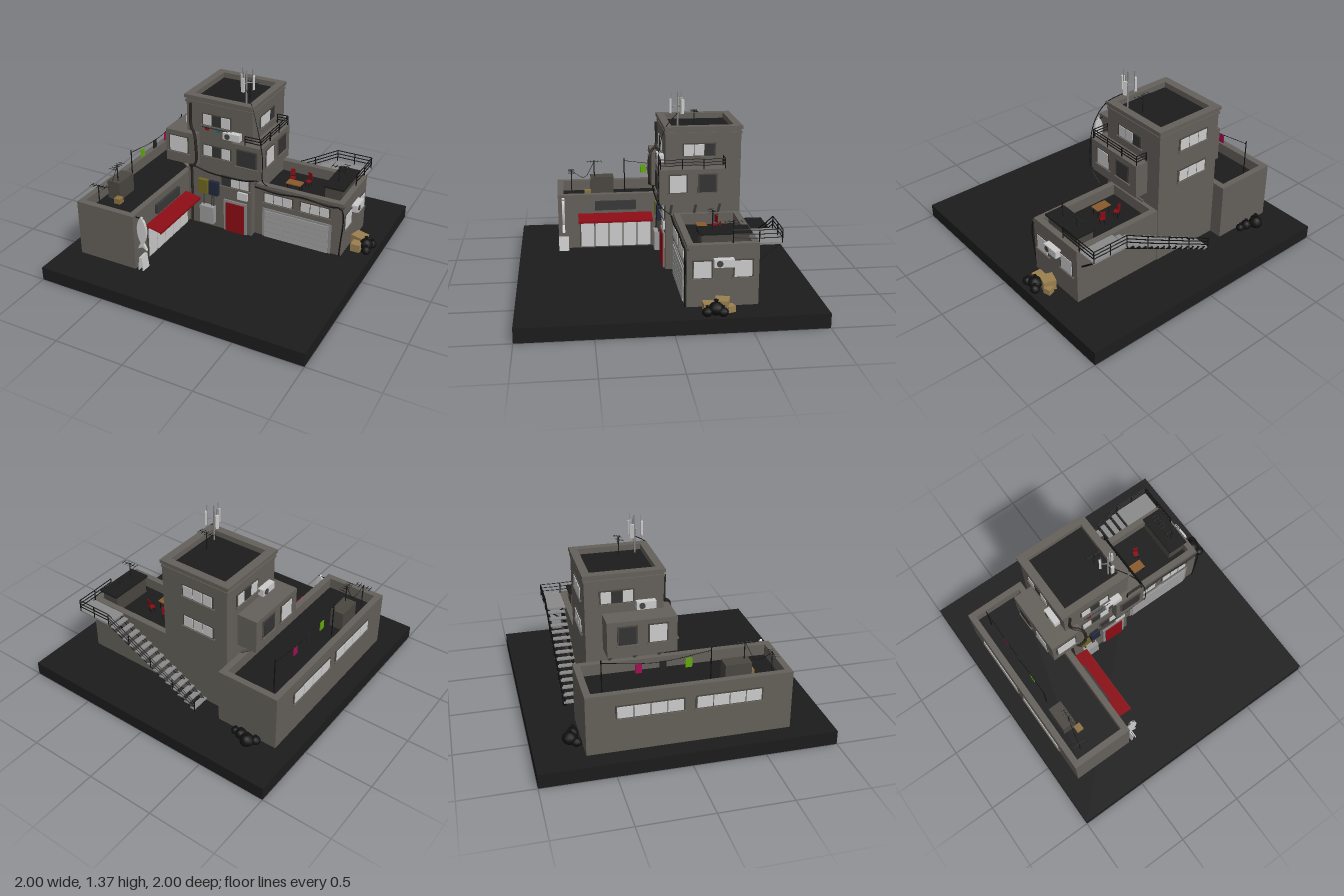
import * as THREE from 'three';

const WALL = 0x64605a, TRIM = 0x4a4741, DARK = 0x1c1c1c, BLACK = 0x101010, LIGHT = 0xcccccc, METAL = 0x8a8a8a, RED = 0x8a0c14;
const mats = {};
const mat = (c) => (mats[c] ??= new THREE.MeshStandardMaterial({ color: c, side: THREE.DoubleSide }));
const V = (p) => new THREE.Vector3(...p);

function add(parent, name, geo, color, pos = [0, 0, 0]) {
  const m = new THREE.Mesh(geo, mat(color));
  m.name = name;
  m.position.set(...pos);
  parent.add(m);
  return m;
}
// Box from its limits on each axis
function box(parent, name, color, x0, x1, y0, y1, z0, z1) {
  return add(parent, name, new THREE.BoxGeometry(x1 - x0, y1 - y0, z1 - z0), color,
    [(x0 + x1) / 2, (y0 + y1) / 2, (z0 + z1) / 2]);
}
// Round bar between two points
function bar(parent, name, color, a, b, r = 0.004) {
  const p = V(a), q = V(b), d = q.clone().sub(p);
  const m = add(parent, name, new THREE.CylinderGeometry(r, r, d.length(), 6), color, p.clone().add(q).multiplyScalar(0.5).toArray());
  m.quaternion.setFromUnitVectors(new THREE.Vector3(0, 1, 0), d.normalize());
}
function cable(parent, name, pts, r = 0.003, color = BLACK) {
  add(parent, name, new THREE.TubeGeometry(new THREE.CatmullRomCurve3(pts.map(V), false, 'centripetal'), 28, r, 6), color);
}
// Hollow-topped building block: parapet ring with a sunken roof floor
function block(parent, name, x0, x1, y0, y1, z0, z1, t, floor) {
  const rect = (S, i) => new S([[x0 + i, -z1 + i], [x1 - i, -z1 + i], [x1 - i, -z0 - i], [x0 + i, -z0 - i]].map((p) => new THREE.Vector2(...p)));
  const s = rect(THREE.Shape, 0);
  s.holes.push(rect(THREE.Path, t));
  add(parent, name + 'Walls', new THREE.ExtrudeGeometry(s, { depth: y1 - y0, bevelEnabled: false }), WALL, [0, y0, 0]).rotation.x = -Math.PI / 2;
  box(parent, name + 'Roof', DARK, x0 + t, x1 - t, floor - 0.02, floor, z0 + t, z1 - t);
}
// Sub-group whose local +z points out of a wall
function onWall(parent, name, pos, rotY) {
  const g = new THREE.Group();
  g.name = name;
  g.position.set(...pos);
  g.rotation.y = rotY;
  parent.add(g);
  return g;
}
// Framed window with n panes; pane number "dark" is open
function win(parent, pos, rotY, w, h, n, dark = -1) {
  const g = onWall(parent, 'window', pos, rotY), pw = w / n;
  box(g, 'windowFrame', TRIM, -w / 2 - 0.008, w / 2 + 0.008, -h / 2 - 0.008, h / 2 + 0.008, -0.01, 0.006);
  box(g, 'windowSill', WALL, -w / 2 - 0.015, w / 2 + 0.015, -h / 2 - 0.016, -h / 2 - 0.006, -0.01, 0.016);
  for (let i = 0; i < n; i++) {
    const x = -w / 2 + i * pw;
    box(g, 'windowPane', i === dark ? 0x333333 : LIGHT, x + 0.003, x + pw - 0.003, -h / 2, h / 2, 0, 0.01);
  }
}
function airConditioner(parent, pos, rotY) {
  const g = onWall(parent, 'airConditioner', pos, rotY);
  box(g, 'coolerBody', LIGHT, -0.065, 0.065, -0.026, 0.026, 0, 0.045);
  add(g, 'coolerFan', new THREE.CylinderGeometry(0.021, 0.021, 0.006, 16), 0x444444, [-0.03, 0, 0.046]).rotation.x = Math.PI / 2;
}
function aerial(parent, x, y0, y1, z, along) {
  bar(parent, 'aerialPole', DARK, [x, y0, z], [x, y1, z]);
  const d = along === 'x' ? [0.055, 0] : [0, 0.055];
  bar(parent, 'aerialBoom', DARK, [x - d[0], y1 - 0.01, z - d[1]], [x + d[0], y1 - 0.01, z + d[1]], 0.002);
  for (let i = -2; i <= 2; i++) {
    const cx = x + d[0] * i / 2, cz = z + d[1] * i / 2, e = along === 'x' ? [0, 0.025] : [0.025, 0];
    bar(parent, 'aerialRod', DARK, [cx - e[0], y1 - 0.01, cz - e[1]], [cx + e[0], y1 - 0.01, cz + e[1]], 0.002);
  }
}
// Posts with three rails following a path of floor points
function railing(parent, pts, h) {
  pts.forEach((p, i) => {
    bar(parent, 'railPost', BLACK, p, [p[0], p[1] + h, p[2]]);
    if (i) for (const k of [0.4, 0.7, 1]) {
      const q = pts[i - 1];
      bar(parent, 'rail', BLACK, [q[0], q[1] + h * k, q[2]], [p[0], p[1] + h * k, p[2]], 0.0035);
    }
  });
}
function rubbish(parent, list) {
  for (const [x, z, r] of list) {
    const m = add(parent, 'rubbishBag', new THREE.IcosahedronGeometry(r, 1), BLACK, [x, 0.1 + r * 0.8, z]);
    m.scale.y = 0.9;
    add(parent, 'bagKnot', new THREE.ConeGeometry(r * 0.35, r * 0.5, 7), BLACK, [x, 0.1 + r * 1.75, z]).rotation.x = Math.PI;
  }
}

export function createModel() {
  const g = new THREE.Group();
  const R = Math.PI / 2;
  box(g, 'ground', DARK, -1, 1, 0, 0.1, -1, 1);

  // Main volumes
  block(g, 'shop', -0.87, -0.41, 0.1, 0.52, -0.67, 0.71, 0.045, 0.44);
  block(g, 'garage', 0.1, 0.8, 0.1, 0.52, -0.57, -0.1, 0.045, 0.44);
  block(g, 'tower', -0.41, 0.115, 0.1, 1.14, -0.575, -0.045, 0.045, 1.08);
  block(g, 'towerCornice', -0.425, 0.125, 1.115, 1.14, -0.585, -0.035, 0.05, 1.1);
  block(g, 'towerBand', -0.42, 0.12, 1.085, 1.1, -0.58, -0.04, 0.03, 1.08);
  box(g, 'garageCap', TRIM, 0.12, 0.805, 0.485, 0.5, -0.11, -0.092);

  // Corner bays with brackets beneath
  for (const [x0, x1, out, inn, rot] of [[-0.56, -0.31, -0.56, -0.41, -R], [-0.02, 0.215, 0.215, 0.115, R]]) {
    box(g, 'bay', WALL, x0, x1, 0.61, 0.86, -0.06, 0.01);
    box(g, 'baySide', WALL, Math.min(out, inn), Math.max(out, inn), 0.61, 0.86, -0.46, 0.01);
    win(g, [out < 0 ? -0.45 : 0.1, 0.76, 0.01], 0, 0.15, 0.12, 1, out < 0 ? -1 : 0);
    win(g, [out, 0.76, -0.12], rot, 0.12, 0.12, 1);
    win(g, [out, 0.76, -0.325], rot, 0.12, 0.12, 1, 0);
    for (const z of [-0.08, -0.25, -0.42]) {
      bar(g, 'bayBracket', WALL, [inn, 0.52, z], [inn + (out - inn) * 0.85, 0.615, z], 0.01);
    }
  }
  railing(g, [[0.08, 0.86, 0], [0.205, 0.86, 0], [0.205, 0.86, -0.15], [0.205, 0.86, -0.3], [0.205, 0.86, -0.45], [0.12, 0.86, -0.45]], 0.07);

  // Tower windows on all sides
  for (const y of [0.975, 0.73]) {
    win(g, [-0.165, y, -0.045], 0, 0.22, 0.08, 3, 1);
    win(g, [-0.18, y, -0.575], Math.PI, 0.24, 0.08, 3);
  }
  win(g, [0.115, 0.975, -0.28], R, 0.22, 0.08, 3, 2);
  win(g, [-0.41, 0.975, -0.36], -R, 0.22, 0.08, 3, 1);
  win(g, [-0.015, 0.515, -0.045], 0, 0.22, 0.075, 3, 0);
  airConditioner(g, [-0.03, 0.895, -0.045], 0);
  airConditioner(g, [-0.41, 0.91, -0.17], -R);

  // Entrance door, number plate and utility boxes
  box(g, 'doorFrame', METAL, -0.11, 0.08, 0.1, 0.36, -0.06, -0.035);
  box(g, 'door', RED, -0.09, 0.06, 0.1, 0.34, -0.05, -0.028);
  box(g, 'numberPlate', LIGHT, 0.005, 0.085, 0.39, 0.45, -0.05, -0.03);
  box(g, 'yellowBox', 0x6e6620, -0.315, -0.24, 0.38, 0.49, -0.05, -0.015);
  box(g, 'blueBox', 0x20283a, -0.225, -0.15, 0.38, 0.49, -0.05, -0.015);
  box(g, 'meterBox', 0x999999, -0.295, -0.18, 0.14, 0.28, -0.05, 0);
  for (const x of [-0.275, -0.21, -0.195]) bar(g, 'conduit', TRIM, [x, 0.27, -0.035], [x, 0.39, -0.035], 0.006);
  cable(g, 'drainPipe', [[-0.375, 0.1, -0.03], [-0.375, 0.58, -0.03], [-0.36, 0.61, 0.02], [-0.31, 0.63, 0.025], [-0.305, 0.83, 0.025],
    [-0.32, 0.87, 0.01], [-0.37, 0.9, -0.03], [-0.37, 1.08, -0.03]], 0.011, 0x2a2522);
  bar(g, 'clothesLine', BLACK, [-0.27, 0.925, -0.015], [-0.06, 0.925, -0.015], 0.002);
  [[-0.23, RED], [-0.14, 0x1a6a80]].forEach(([x, c]) => box(g, 'smallCloth', c, x - 0.015, x + 0.015, 0.905, 0.925, -0.017, -0.013));

  // Garage front and side
  box(g, 'garageFrame', METAL, 0.18, 0.72, 0.1, 0.335, -0.11, -0.092);
  box(g, 'garageDoor', 0xa0a0a0, 0.2, 0.7, 0.1, 0.32, -0.1, -0.086);
  for (let i = 1; i < 5; i++) box(g, 'doorRib', METAL, 0.2, 0.7, 0.1 + i * 0.044, 0.103 + i * 0.044, -0.09, -0.084);
  for (const x of [0.305, 0.59]) win(g, [x, 0.425, -0.1], 0, 0.22, 0.07, 3);
  for (const z of [-0.2, -0.465]) win(g, [0.8, 0.355, z], R, 0.12, 0.11, 1);
  airConditioner(g, [0.8, 0.405, -0.335], R);

  // Shop front with awning and blank sign
  box(g, 'shopFrame', TRIM, -0.42, -0.402, 0.1, 0.34, 0, 0.55);
  for (let i = 0; i < 5; i++) box(g, 'shopPane', LIGHT, -0.41, -0.397, 0.11, 0.33, 0.008 + i * 0.108, 0.108 + i * 0.108);
  const awning = box(g, 'awning', RED, -0.415, -0.285, 0.352, 0.36, 0, 0.56);
  awning.rotation.z = -0.2;
  box(g, 'awningValance', RED, -0.292, -0.285, 0.332, 0.348, 0, 0.56);
  box(g, 'shopSign', 0x383838, -0.41, -0.39, 0.4, 0.47, 0.12, 0.43);
  for (const z of [-0.25, 0.275]) win(g, [-0.87, 0.39, z], -R, 0.44, 0.08, 4);

  // Hanging fish with its stand
  const fish = new THREE.Shape();
  fish.moveTo(0, 0.13);
  fish.bezierCurveTo(0.045, 0.08, 0.045, -0.01, 0.01, -0.075);
  fish.lineTo(0.035, -0.125);
  fish.lineTo(0, -0.105);
  fish.lineTo(-0.035, -0.125);
  fish.lineTo(-0.01, -0.075);
  fish.bezierCurveTo(-0.045, -0.01, -0.045, 0.08, 0, 0.13);
  add(g, 'fishSign', new THREE.ExtrudeGeometry(fish, { depth: 0.012, bevelSize: 0.003, bevelThickness: 0.004, bevelSegments: 2 }), LIGHT, [-0.365, 0.38, 0.665]);
  bar(g, 'fishBracket', BLACK, [-0.41, 0.5, 0.671], [-0.35, 0.5, 0.671]);
  for (const s of [-1, 1]) box(g, 'pavementBoard', LIGHT, -0.366 + s * 0.012 - 0.004, -0.366 + s * 0.012 + 0.004, 0.1, 0.205, 0.635, 0.71).rotation.z = s * 0.12;

  // Shop roof: vent, aerials and washing line
  box(g, 'shopVent', TRIM, -0.79, -0.69, 0.44, 0.58, 0.27, 0.45);
  aerial(g, -0.72, 0.44, 0.71, 0.42, 'z');
  aerial(g, -0.76, 0.44, 0.625, 0.6, 'x');
  cable(g, 'aerialCable', [[-0.72, 0.7, 0.42], [-0.74, 0.57, 0.5], [-0.76, 0.62, 0.6]], 0.002);
  for (const z of [-0.54, 0.18]) bar(g, 'linePole', BLACK, [-0.76, 0.44, z], [-0.76, 0.71, z]);
  cable(g, 'washingLine', [[-0.76, 0.69, -0.54], [-0.76, 0.65, -0.18], [-0.76, 0.69, 0.18]], 0.002);
  [[0.03, 0x62a80c], [-0.14, 0x222222], [-0.3, 0xa01050]].forEach(([z, c]) => box(g, 'laundry', c, -0.763, -0.757, 0.59, 0.655, z - 0.022, z + 0.022));
  box(g, 'roofCarton', 0x8a7040, -0.71, -0.66, 0.44, 0.48, 0.45, 0.5);

  // Garage roof: hut, aerials, table and chairs
  box(g, 'roofHut', TRIM, 0.62, 0.75, 0.44, 0.57, -0.51, -0.2);
  box(g, 'roofHutLid', DARK, 0.61, 0.765, 0.57, 0.583, -0.525, -0.185);
  aerial(g, 0.69, 0.57, 0.715, -0.28, 'x');
  aerial(g, 0.68, 0.57, 0.64, -0.42, 'z');
  box(g, 'tableTop', 0x8a5a2c, 0.3, 0.415, 0.5, 0.507, -0.3, -0.23);
  for (const x of [0.31, 0.405]) for (const z of [-0.29, -0.24]) bar(g, 'tableLeg', BLACK, [x, 0.44, z], [x, 0.5, z], 0.003);
  for (const [x, turn] of [[0.3, 0.4], [0.425, -0.4]]) {
    const c = onWall(g, 'chair', [x, 0.44, -0.36], turn);
    box(c, 'chairSeat', RED, -0.018, 0.018, 0.042, 0.05, -0.018, 0.018);
    box(c, 'chairBack', RED, -0.018, 0.018, 0.06, 0.11, -0.022, -0.016);
    for (const sx of [-1, 1]) for (const sz of [-1, 1]) bar(c, 'chairLeg', BLACK, [sx * 0.015, 0, sz * 0.016], [sx * 0.015, 0.045, sz * 0.016], 0.002);
  }

  // Rear staircase, landing and rails
  const steps = 14, run = 0.75 / steps, rise = 0.4 / steps;
  for (let i = 0; i < steps; i++) {
    const x = -0.24 + i * run, y = 0.1 + (i + 1) * rise;
    box(g, 'stairTread', METAL, x, x + run * 0.72, y - 0.01, y, -0.72, -0.58);
  }
  for (const z of [-0.705, -0.595]) bar(g, 'stairStringer', BLACK, [-0.24, 0.11, z], [0.52, 0.5, z], 0.011);
  box(g, 'landing', METAL, 0.51, 0.78, 0.5, 0.515, -0.72, -0.57);
  for (const x of [0.53, 0.76]) bar(g, 'landingBrace', BLACK, [x, 0.5, -0.71], [x, 0.38, -0.57], 0.006);
  railing(g, [[-0.24, 0.11, -0.72], [-0.05, 0.21, -0.72], [0.14, 0.31, -0.72], [0.33, 0.41, -0.72], [0.51, 0.51, -0.72], [0.645, 0.51, -0.72],
    [0.778, 0.51, -0.72], [0.778, 0.51, -0.57], [0.778, 0.515, -0.4]], 0.09);

  // Tower mast with panel antennas
  bar(g, 'mast', METAL, [0.02, 1.08, -0.14], [0.02, 1.37, -0.14], 0.006);
  for (let i = 0; i < 3; i++) {
    const a = i * Math.PI * 2 / 3, x = 0.02 + Math.sin(a) * 0.045, z = -0.14 + Math.cos(a) * 0.045;
    bar(g, 'mastArm', METAL, [0.02, 1.27, -0.14], [x, 1.27, z]);
    bar(g, 'mastRod', METAL, [x, 1.21, z], [x, 1.37, z], 0.003);
    const p = onWall(g, 'panelAntenna', [x, 1.27, z], a);
    box(p, 'panel', LIGHT, -0.012, 0.012, -0.05, 0.05, 0, 0.014);
  }
  aerial(g, -0.01, 1.08, 1.235, -0.26, 'x');

  // Loose cables
  cable(g, 'mastCable', [[0.02, 1.22, -0.14], [0.12, 1.13, -0.04], [0.19, 0.98, 0.01], [0.225, 0.8, 0.015], [0.225, 0.62, 0.01], [0.22, 0.53, -0.08]]);
  cable(g, 'saggingCable', [[-0.38, 0.62, 0], [-0.24, 0.58, 0], [-0.08, 0.57, 0], [0.1, 0.58, 0], [0.22, 0.62, 0]], 0.005);
  cable(g, 'parapetCable', [[0.12, 0.5, -0.085], [0.3, 0.485, -0.085], [0.5, 0.505, -0.085], [0.7, 0.485, -0.085], [0.79, 0.49, -0.085], [0.79, 0.1, -0.09]], 0.005);

  // Rubbish beside the garage and behind the shop
  rubbish(g, [[0.93, -0.27, 0.05], [0.95, -0.21, 0.035], [0.96, -0.31, 0.035], [-0.7, -0.75, 0.05], [-0.63, -0.72, 0.04], [-0.74, -0.71, 0.035], [-0.58, -0.71, 0.03]]);
  [[0.86, -0.32, 0.09], [0.87, -0.23, 0.07], [0.89, -0.37, 0.05]].forEach(([x, z, s], i) => {
    box(g, 'carton', 0x9a8050, x - s / 2, x + s / 2, 0.1, 0.1 + s * 0.85, z - s / 2, z + s / 2).rotation.y = 0.3 * (i - 1);
  });
  return g;
}
